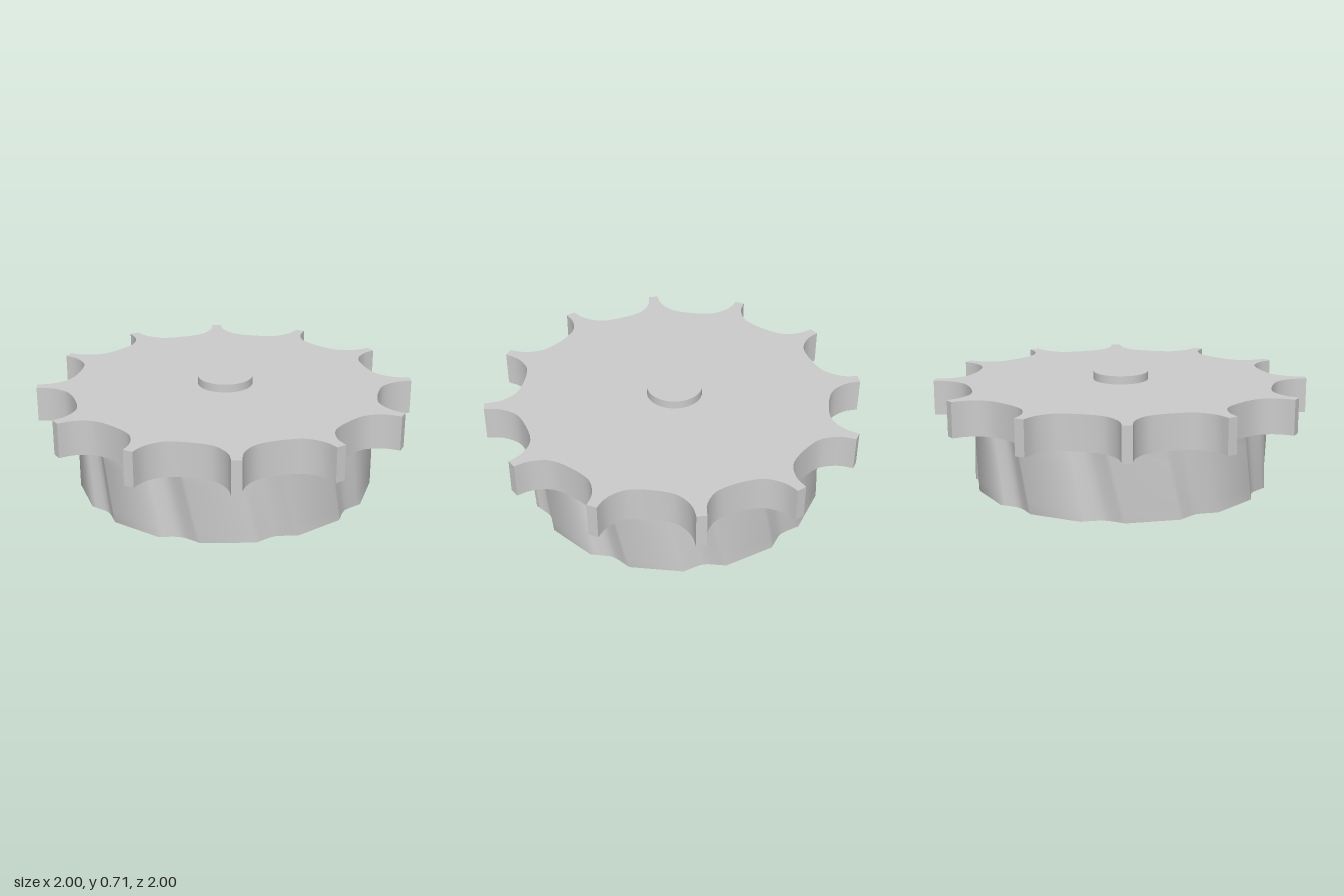
import * as THREE from 'three';
import { toCreasedNormals } from 'three/addons/utils/BufferGeometryUtils.js';

const material = new THREE.MeshStandardMaterial({ color: 0xcccccc });
const rad = THREE.MathUtils.degToRad;

// Outline point at an angle measured from +z towards +x
const polar = (deg, r) => new THREE.Vector2(r * Math.sin(rad(deg)), -r * Math.cos(rad(deg)));

// Repeat one valley [angle, radius] around the axis; straight lands join the valleys
function toothedShape(valley, count, samples) {
  const points = [];
  for (let i = 0; i < count; i++) {
    const curve = new THREE.SplineCurve(valley.map(([a, r]) => polar(a + (i * 360) / count, r)));
    points.push(...curve.getPoints(samples));
  }
  return new THREE.Shape(points);
}

// Upright extrusion from y0 to y1, turning from angle0 to angle1 on the way up
function twistedPrism(name, shape, y0, y1, angle0, angle1, steps, crease) {
  const height = y1 - y0;
  const geo = new THREE.ExtrudeGeometry(shape, { depth: height, steps, bevelEnabled: false });
  geo.rotateX(-Math.PI / 2);
  const pos = geo.attributes.position;
  const axis = new THREE.Vector3(0, 1, 0);
  const v = new THREE.Vector3();
  for (let i = 0; i < pos.count; i++) {
    v.fromBufferAttribute(pos, i);
    v.applyAxisAngle(axis, rad(THREE.MathUtils.lerp(angle0, angle1, v.y / height)));
    pos.setXYZ(i, v.x, v.y + y0, v.z);
  }
  const mesh = new THREE.Mesh(toCreasedNormals(geo, rad(crease)), material);
  mesh.name = name;
  return mesh;
}

export function createModel() {
  const group = new THREE.Group();
  group.name = 'sprocketGear';

  // Wide upper wheel: twelve pointed teeth with scooped gaps
  const scoop = [
    [-13.5, 1.028], [-12.9, 0.955], [-10.4, 0.888], [-6.8, 0.85], [0, 0.835],
    [6.8, 0.85], [10.4, 0.888], [12.9, 0.955], [13.5, 1.028],
  ];
  group.add(twistedPrism('sprocketWheel', toothedShape(scoop, 12, 20), 0.48, 0.67, 0, 0, 1, 40));

  // Lower drum: ten shallow slanted grooves
  const groove = [[-8, 0.815], [-4, 0.79], [0, 0.775], [4, 0.79], [8, 0.815]];
  group.add(twistedPrism('groovedDrum', toothedShape(groove, 10, 8), 0.11, 0.48, 1, -5, 6, 45));

  // Axle showing above and below
  const axle = new THREE.Mesh(new THREE.CylinderGeometry(0.15, 0.15, 0.715, 32), material);
  axle.name = 'axle';
  axle.position.y = 0.3575;
  group.add(axle);

  return group;
}
